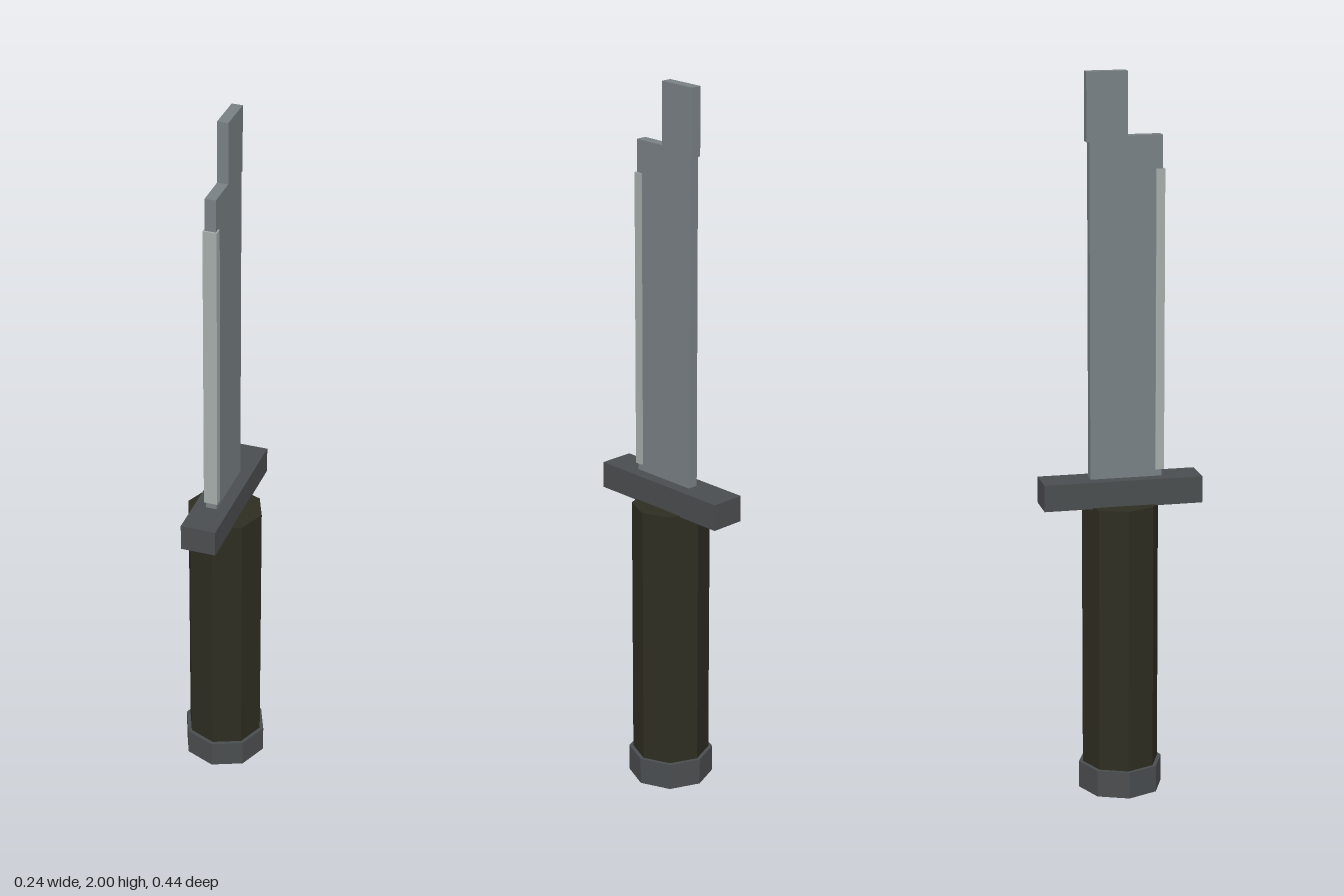
import * as THREE from 'three';

const mat = (name, color) => {
  const m = new THREE.MeshStandardMaterial({ color, flatShading: true });
  m.name = name;
  return m;
};

export function createModel() {
  const steel = mat('blade steel', 0x788084);
  const honed = mat('honed edge', 0xa4acaa);
  const iron = mat('dark iron', 0x4a4d4f);
  const leather = mat('grip brown', 0x2e2d21);

  const model = new THREE.Group();
  model.name = 'knife';
  const add = (name, geometry, material, y = 0, z = 0) => {
    const mesh = new THREE.Mesh(geometry, material);
    mesh.name = name;
    mesh.position.set(0, y, z);
    model.add(mesh);
  };
  const octagon = (r, h) => new THREE.CylinderGeometry(r, r, h, 8);

  // Handle
  add('pommel', octagon(0.118, 0.076), iron, 0.038);
  add('grip', octagon(0.107, 0.75), leather, 0.45);
  add('guard', new THREE.BoxGeometry(0.098, 0.074, 0.44), iron, 0.859);

  // Blade: stepped profile drawn in (z, y), extruded across x
  const profile = new THREE.Shape([
    [-0.086, 0.88], [0.113, 0.88], [0.113, 1.83], [0.018, 1.83],
    [0.018, 2], [-0.094, 2], [-0.094, 1.815], [-0.086, 1.815],
  ].map(([z, y]) => new THREE.Vector2(-z, y)));
  const blade = new THREE.ExtrudeGeometry(profile, { depth: 0.03, bevelEnabled: false });
  blade.translate(0, 0, -0.015).rotateY(Math.PI / 2);
  add('blade', blade, steel);

  // Sharpened strip along the front of the blade
  add('cuttingEdge', new THREE.BoxGeometry(0.038, 0.825, 0.024), honed, 1.3275, 0.107);

  return model;
}
